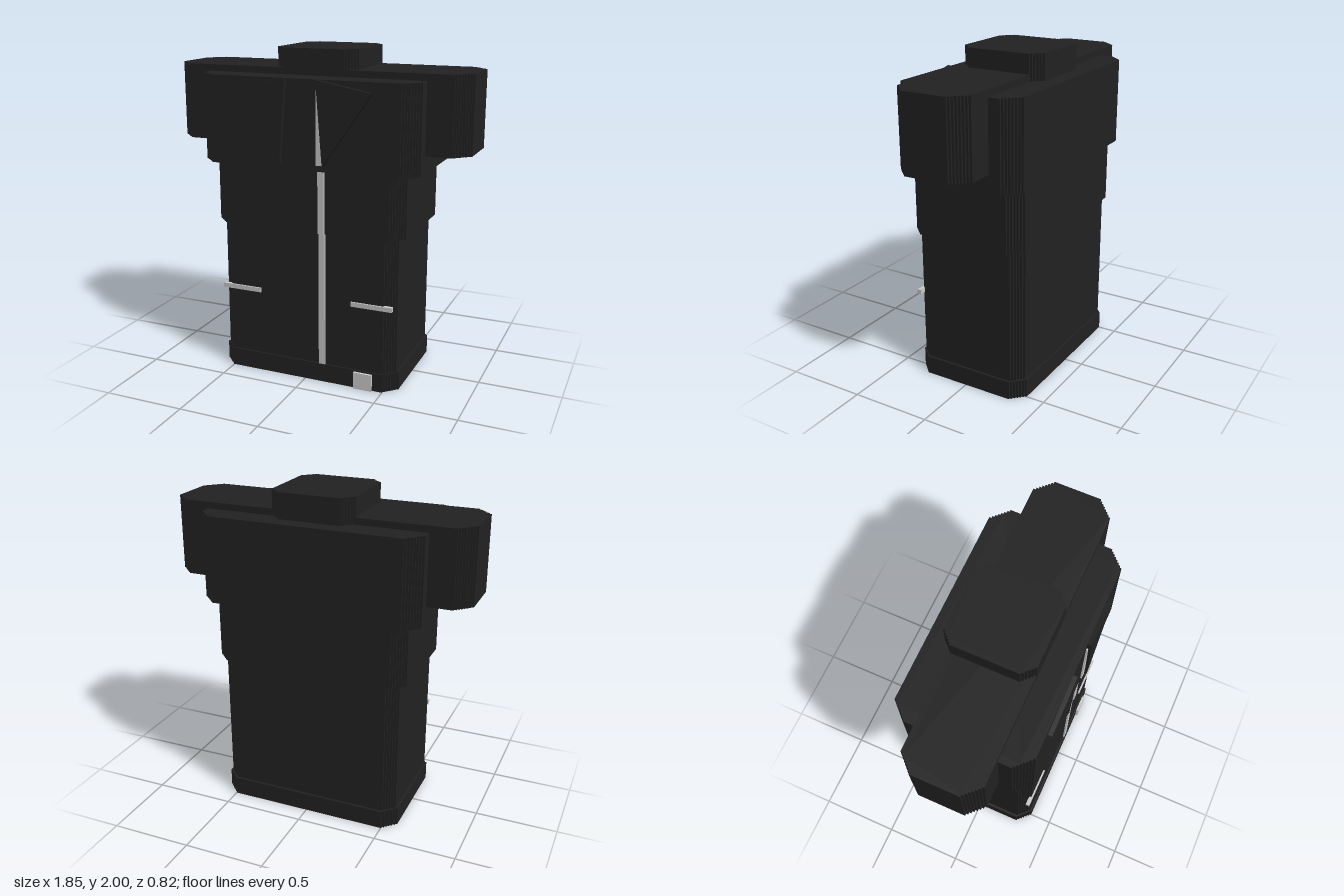
import * as THREE from 'three';

const cloth = new THREE.MeshStandardMaterial({ name: 'black cloth', color: 0x222222 });
const metal = new THREE.MeshStandardMaterial({ name: 'light grey trim', color: 0xc8c8c8 });
const label = new THREE.MeshStandardMaterial({ name: 'pale label', color: 0xcdcdcd });

// Block with finely stepped vertical corners, given by its bounds
function steppedBlock(name, [x0, x1], [y0, y1], [z0, z1], cut) {
  const steps = Math.round(cut / 0.0128);
  const s = cut / steps;
  const pts = [];
  // Corners in order around the outline; alternate corners walk in reverse
  const corners = [[x1, z0, 1, -1, false], [x1, z1, 1, 1, true], [x0, z1, -1, 1, false], [x0, z0, -1, -1, true]];
  for (const [cx, cz, sx, sz, reverse] of corners) {
    const stair = [];
    for (let i = 0; i <= steps; i++) {
      const x = cx - sx * (cut - i * s);
      const z = cz - sz * i * s;
      stair.push([x, z]);
      if (i < steps) stair.push([x, z - sz * s]);
    }
    if (reverse) stair.reverse();
    for (const [x, z] of stair) pts.push(new THREE.Vector2(x, -z));
  }
  const geo = new THREE.ExtrudeGeometry(new THREE.Shape(pts), { depth: y1 - y0, bevelEnabled: false });
  geo.rotateX(-Math.PI / 2).translate(0, y0, 0);
  const mesh = new THREE.Mesh(geo, cloth);
  mesh.name = name;
  return mesh;
}

// Plain bar given by its bounds
function bar(name, [x0, x1], [y0, y1], [z0, z1], material) {
  const mesh = new THREE.Mesh(new THREE.BoxGeometry(x1 - x0, y1 - y0, z1 - z0), material);
  mesh.position.set((x0 + x1) / 2, (y0 + y1) / 2, (z0 + z1) / 2);
  mesh.name = name;
  return mesh;
}

// Flat triangular collar flap
function lapel(name, side) {
  const corners = [[0.095, 1.845], [0.43, 1.785], [0.133, 1.355]];
  const shape = new THREE.Shape(corners.map(([x, y]) => new THREE.Vector2(x * side, y)));
  const geo = new THREE.ExtrudeGeometry(shape, { depth: 0.03, bevelEnabled: false });
  const mesh = new THREE.Mesh(geo.translate(0, 0, 0.38), cloth);
  mesh.name = name;
  return mesh;
}

export function createModel() {
  const jacket = new THREE.Group();
  jacket.name = 'jacket';

  // Stacked body sections, sleeves and neck
  jacket.add(
    steppedBlock('hem', [-0.58, 0.577], [0, 0.115], [-0.385, 0.36], 0.077),
    steppedBlock('lowerBody', [-0.565, 0.562], [0.115, 0.945], [-0.37, 0.35], 0.064),
    steppedBlock('waist', [-0.605, 0.603], [0.945, 1.32], [-0.383, 0.362], 0.077),
    steppedBlock('chest', [-0.682, 0.68], [1.32, 1.845], [-0.41, 0.385], 0.09),
    steppedBlock('sleeves', [-0.928, 0.926], [1.425, 1.885], [-0.248, 0.215], 0.09),
    steppedBlock('neck', [-0.257, 0.255], [1.845, 2], [-0.31, 0.217], 0.064),
  );

  // Zip, following the depth of each section
  jacket.add(
    bar('lowerZip', [0.09, 0.13], [0.115, 0.97], [0.33, 0.36], metal),
    bar('waistZip', [0.09, 0.13], [0.945, 1.32], [0.33, 0.374], metal),
    bar('chestZip', [0.09, 0.125], [1.357, 1.785], [0.36, 0.395], metal),
  );

  // Lapels over the zip
  jacket.add(lapel('leftLapel', 1), lapel('rightLapel', -1));

  // Pocket trims and hem label
  jacket.add(
    bar('rightPocket', [-0.557, -0.3], [0.518, 0.546], [0.335, 0.36], metal),
    bar('leftPocket', [0.295, 0.552], [0.518, 0.546], [0.335, 0.36], metal),
    bar('hemLabel', [0.32, 0.436], [0, 0.105], [0.35, 0.375], label),
  );
  return jacket;
}
